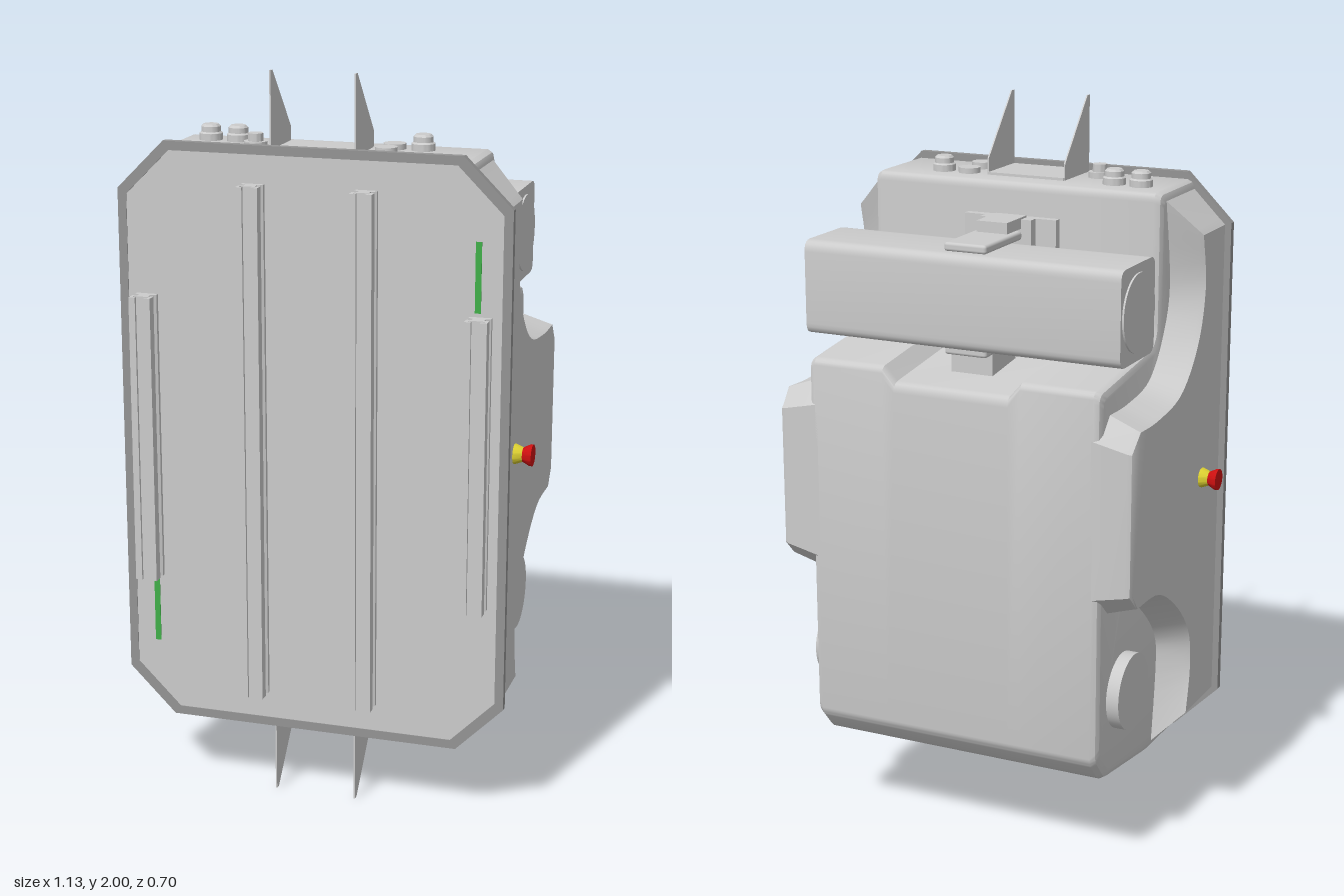
import * as THREE from 'three';
import { toCreasedNormals } from 'three/addons/utils/BufferGeometryUtils.js';
import { RoundedBoxGeometry } from 'three/addons/geometries/RoundedBoxGeometry.js';

const paint = (color) => new THREE.MeshStandardMaterial({ color });
const grey = paint(0xcccccc), dark = paint(0x949494);
const red = paint(0xcc1010), yellow = paint(0xd8cc30), green = paint(0x40b048);
const V = (x, y) => new THREE.Vector2(x, y);

// Closed loop with rounded corners; each point is [z, y, radius]
function rounded(pts) {
  const out = [];
  pts.forEach(([x, y, r], i) => {
    const p = V(x, y);
    const toward = (q) => V(q[0], q[1]).sub(p).setLength(r).add(p);
    const a = toward(pts[(i + pts.length - 1) % pts.length]);
    const b = toward(pts[(i + 1) % pts.length]);
    out.push(...new THREE.QuadraticBezierCurve(a, p, b).getPoints(5));
  });
  return out;
}

// Skin over counter-clockwise (z, y) loops at ascending x stations, with end caps
function loft(stations) {
  const pos = [], index = [], n = stations[0].loop.length;
  for (const { x, loop } of stations) for (const p of loop) pos.push(x, p.y, p.x);
  for (let i = 0; i < stations.length - 1; i++) {
    for (let j = 0; j < n; j++) {
      const k = (j + 1) % n, a = i * n + j, b = i * n + k, c = b + n, d = a + n;
      index.push(a, d, c, a, c, b);
    }
  }
  const last = (stations.length - 1) * n;
  for (const [a, b, c] of THREE.ShapeUtils.triangulateShape(stations[0].loop, [])) index.push(a, b, c);
  for (const [a, b, c] of THREE.ShapeUtils.triangulateShape(stations.at(-1).loop, [])) {
    index.push(last + a, last + c, last + b);
  }
  const g = new THREE.BufferGeometry();
  g.setAttribute('position', new THREE.Float32BufferAttribute(pos, 3));
  g.setIndex(index);
  return toCreasedNormals(g, 0.6);
}

// Main body section: e insets the outline, d lowers the rear ledge
const bodyLoop = (e, d) => rounded([
  [0.28, 0.22 + e, 0.005], [0.28, 1.79 - e, 0.005], [0.035 + e, 1.79 - e, 0.025],
  [0.035 + e, 1.39 - d - e, 0.06], [-0.35 + e, 1.345 - d - e, 0.025],
  [-0.35 + e, 0.33 + e, 0.02], [-0.29 + e, 0.26 + e, 0.02], [0.02, 0.22 + e, 0.03],
]);

// Side cheek section: t = 0 at the body, t = 1 at the outer face
const cheekIn = {
  up: [[0.06, 1.79], [0.10, 1.54], [0.06, 1.41], [-0.03, 1.31], [-0.17, 1.285], [-0.285, 1.285]],
  low: [[-0.285, 0.73], [-0.15, 0.72], [-0.04, 0.645], [0.04, 0.555], [0.055, 0.465], [0.03, 0.22]],
  back: [1.22, 0.79], ends: [0.22, 1.79],
};
const cheekOut = {
  up: [[0.115, 1.675], [0.14, 1.53], [0.095, 1.385], [-0.02, 1.275], [-0.18, 1.245], [-0.30, 1.245]],
  low: [[-0.30, 0.77], [-0.155, 0.76], [-0.02, 0.68], [0.075, 0.575], [0.095, 0.465], [0.07, 0.335]],
  back: [1.195, 0.815], ends: [0.335, 1.675],
};
function cheekLoop(t, rear = -0.35) {
  const loop = (c) => [
    V(0.28, c.ends[0]), V(0.28, c.ends[1]),
    ...new THREE.SplineCurve(c.up.map((p) => V(...p))).getPoints(24),
    V(-0.35, c.back[0]), V(-0.35, c.back[1]),
    ...new THREE.SplineCurve(c.low.map((p) => V(...p))).getPoints(24),
  ];
  const outer = loop(cheekOut);
  return loop(cheekIn).map((p, i) => {
    p.lerp(outer[i], t);
    p.x = Math.max(p.x, rear);
    return p;
  });
}

const mirrored = (st) => st.map(({ x, loop }) => ({ x: -x, loop })).reverse();

// Octagonal outline of the front plate
function octagon(w, h, c, Type = THREE.Shape) {
  return new Type([V(w, -h + c), V(w, h - c), V(w - c, h), V(c - w, h),
    V(-w, h - c), V(-w, c - h), V(c - w, -h), V(w - c, -h)]);
}
const extrude = (shape, depth) => new THREE.ExtrudeGeometry(shape, { depth, bevelEnabled: false });

export function createModel() {
  const model = new THREE.Group();
  const add = (name, geo, x = 0, y = 0, z = 0, mat = grey) => {
    const m = new THREE.Mesh(geo, mat);
    m.name = name;
    m.position.set(x, y, z);
    model.add(m);
    return m;
  };
  // Box given by its limits
  const box = (name, x0, x1, y0, y1, z0, z1, mat) => add(name,
    new THREE.BoxGeometry(x1 - x0, y1 - y0, z1 - z0), (x0 + x1) / 2, (y0 + y1) / 2, (z0 + z1) / 2, mat);

  // Body with a shallow dip in the rear ledge
  const half = [[0.165, 0, 0.04], [0.2, 0, 0], [0.405, 0, 0], [0.419, 0.007, 0], [0.425, 0.02, 0]]
    .map(([x, e, d]) => ({ x, loop: bodyLoop(e, d) }));
  add('body', loft([...mirrored(half), ...half]));

  // Side cheeks with the curved recesses
  const cheek = [
    { x: 0.4, loop: cheekLoop(0) }, { x: 0.5, loop: cheekLoop(0.87) },
    { x: 0.511, loop: cheekLoop(0.96, -0.346) }, { x: 0.515, loop: cheekLoop(1, -0.336) },
  ];
  add('leftCheek', loft(cheek));
  add('rightCheek', loft(mirrored(cheek)));

  // Front plate and its dark rim
  add('frontPlate', extrude(octagon(0.51, 0.782, 0.121), 0.022), 0, 1.005, 0.27);
  const rim = octagon(0.533, 0.805, 0.13);
  rim.holes.push(octagon(0.509, 0.781, 0.121, THREE.Path));
  add('plateRim', extrude(rim, 0.02), 0, 1.005, 0.274, dark);

  // Slotted mounting rails
  const side = [[0.03, 0], [0.03, 0.012], [0.016, 0.02], [0.016, 0.033], [0.03, 0.033],
    [0.03, 0.06], [0.012, 0.06], [0.012, 0.052], [0.021, 0.052], [0.021, 0.042]];
  const section = new THREE.Shape([
    ...side.map(([x, z]) => V(x, -z)), ...side.map(([x, z]) => V(-x, -z)).reverse()]);
  for (const [x, y0, y1] of [[-0.155, 0.3, 1.71], [0.15, 0.3, 1.71], [-0.457, 0.61, 1.4], [0.453, 0.61, 1.4]]) {
    add('rail', extrude(section, y1 - y0).rotateX(-Math.PI / 2), x, y0, 0.291);
  }

  // Green light strips
  box('lightStrip', 0.437, 0.453, 1.41, 1.595, 0.285, 0.294, green);
  box('lightStrip', -0.457, -0.441, 0.415, 0.595, 0.285, 0.294, green);

  // Thin fins above and below, with their base plates
  const fin = new THREE.Shape([V(0.27, 1.78), V(0.27, 2), V(0.255, 2), V(0.11, 1.835), V(0.11, 1.78)]);
  for (const x of [-0.115, 0.112]) {
    const top = extrude(fin, 0.004).rotateY(-Math.PI / 2).translate(0.002, 0, 0);
    add('topFin', top, x);
    add('bottomFin', top.clone().rotateZ(Math.PI), x, 2);
  }
  box('topFinBase', -0.115, 0.112, 1.785, 1.797, 0.105, 0.27);
  box('bottomFinBase', -0.115, 0.112, 0.213, 0.225, 0.105, 0.27);

  // Knobs and connectors on the top face
  const lathe = (pts, seg = 32) => toCreasedNormals(
    new THREE.LatheGeometry(pts.map((p) => V(...p)), seg), 0.5);
  const knob = lathe([[0.031, 0], [0.031, 0.018], [0.026, 0.022], [0.026, 0.036], [0.02, 0.042], [0, 0.042]]);
  for (const x of [-0.333, -0.256, 0.251]) add('knob', knob, x, 1.79, 0.12);
  add('flatButton', new THREE.CylinderGeometry(0.03, 0.03, 0.02, 32), 0.174, 1.795, 0.12);
  add('connector', lathe([[0.031, 0], [0.031, 0.016], [0.02, 0.016], [0.02, 0.037], [0, 0.037]]), -0.18, 1.79, 0.2);
  add('roundButton', new THREE.CylinderGeometry(0.029, 0.029, 0.02, 32), 0.174, 1.798, 0.2);

  // Stop buttons and round covers on both sides
  for (const s of [-1, 1]) {
    const turn = (m) => { m.rotation.z = -s * Math.PI / 2; };
    turn(add('stopCollar', lathe([[0.027, 0], [0.027, 0.006], [0.018, 0.03], [0, 0.03]]), s * 0.513, 1, 0.145, yellow));
    turn(add('stopButton', lathe([[0, 0], [0.019, 0], [0.029, 0.02], [0.029, 0.027], [0, 0.029]]), s * 0.538, 1, 0.145, red));
    turn(add('sideCover', new THREE.CylinderGeometry(0.105, 0.105, 0.05, 48), s * 0.435, 0.485, -0.183));
    turn(add('housingEnd', new THREE.CylinderGeometry(0.104, 0.104, 0.01, 48), s * 0.455, 1.525, -0.187));
  }

  // Horizontal housing behind the body
  const square = new THREE.Shape(rounded([
    [-0.112, -0.127, 0.03], [0.112, -0.127, 0.03], [0.112, 0.127, 0.03], [-0.112, 0.127, 0.03]]));
  const housing = extrude(square, 0.91).translate(0, 0, -0.455).rotateY(Math.PI / 2);
  add('housing', toCreasedNormals(housing, 0.6), 0, 1.525, -0.187);

  // Bracket holding the housing
  box('wallPlate', -0.135, 0.135, 1.5, 1.7, 0.012, 0.04);
  box('bracketStep', -0.075, 0.075, 1.6, 1.7, -0.015, 0.02);
  box('bracketArm', -0.045, 0.045, 1.675, 1.705, -0.1, 0.02);
  const pad = new RoundedBoxGeometry(0.122, 0.024, 0.22, 2, 0.008);
  add('topPad', pad, 0, 1.663, -0.15);
  add('bottomPad', pad, 0, 1.388, -0.15);
  box('bottomSupport', -0.06, 0.06, 1.31, 1.385, -0.22, -0.08);
  return model;
}
